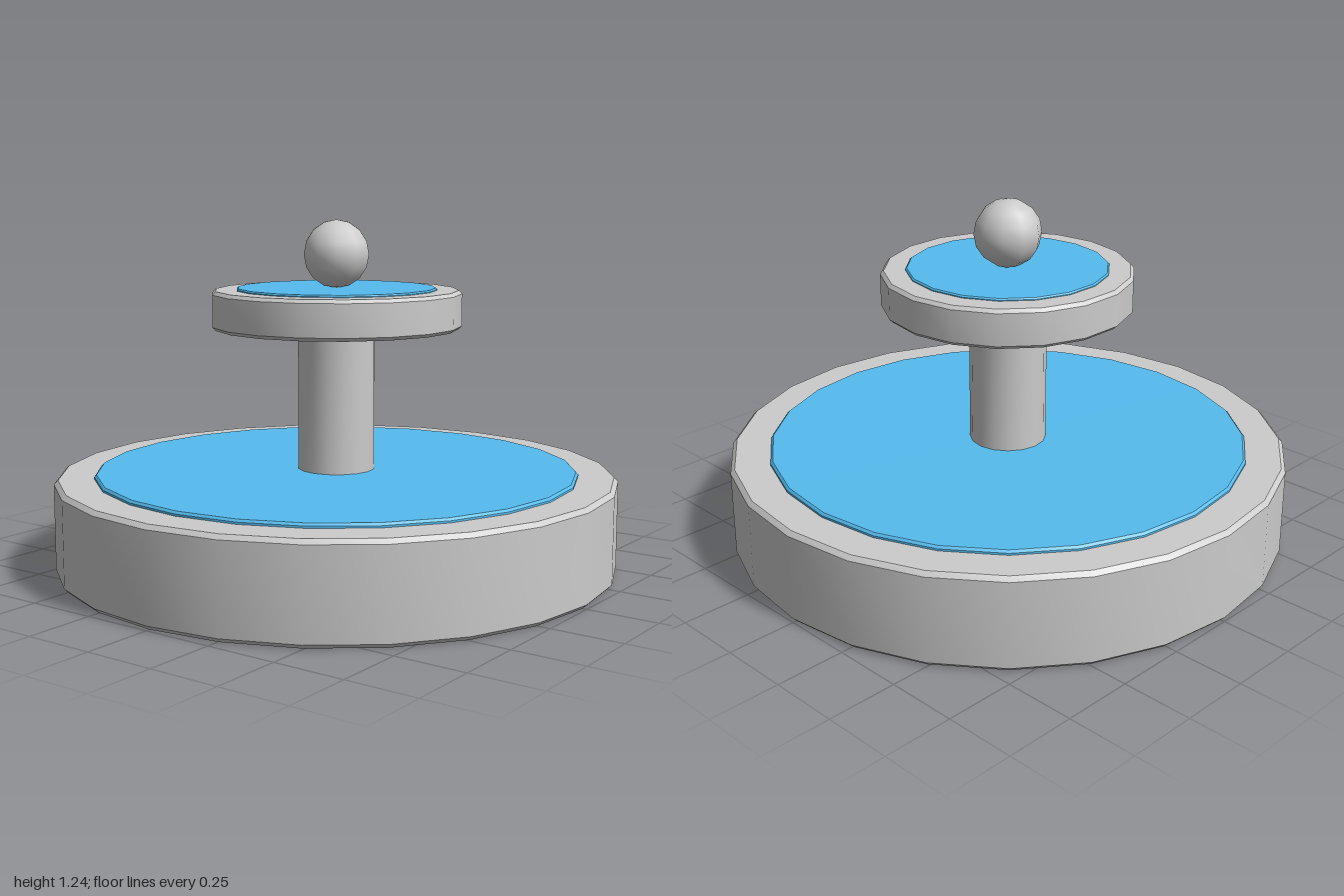
import * as THREE from 'three';
import { toCreasedNormals } from 'three/addons/utils/BufferGeometryUtils.js';

const CREASE = 0.6;

export function createModel() {
  const group = new THREE.Group();
  const stone = new THREE.MeshStandardMaterial({ color: 0xcccccc });
  const water = new THREE.MeshStandardMaterial({ color: 0x55bbee });

  // Solid disc from y0 to y1 with chamfered rims
  function addDisc(name, radius, y0, y1, sides, bevel, material) {
    const profile = [
      [0, y0], [radius - bevel, y0], [radius, y0 + bevel],
      [radius, y1 - bevel], [radius - bevel, y1], [0, y1],
    ].map(([x, y]) => new THREE.Vector2(x, y));
    const mesh = new THREE.Mesh(
      toCreasedNormals(new THREE.LatheGeometry(profile, sides), CREASE), material);
    mesh.name = name;
    group.add(mesh);
  }

  // Lower pool
  addDisc('lowerBasin', 1, 0, 0.335, 24, 0.015, stone);
  addDisc('lowerWater', 0.86, 0.3, 0.35, 24, 0.008, water);

  // Central column
  const column = new THREE.Mesh(
    toCreasedNormals(new THREE.CylinderGeometry(0.137, 0.137, 0.56, 16), CREASE), stone);
  column.name = 'column';
  column.position.y = 0.6;
  group.add(column);

  // Upper bowl
  addDisc('upperBasin', 0.443, 0.853, 0.99, 18, 0.012, stone);
  addDisc('upperWater', 0.356, 0.96, 0.998, 18, 0.005, water);

  // Ball finial, turned so its facets have corners on the z axis
  const finial = new THREE.Mesh(new THREE.SphereGeometry(0.12, 10, 8), stone);
  finial.name = 'finial';
  finial.position.y = 1.115;
  finial.rotation.y = Math.PI / 2;
  group.add(finial);

  return group;
}
